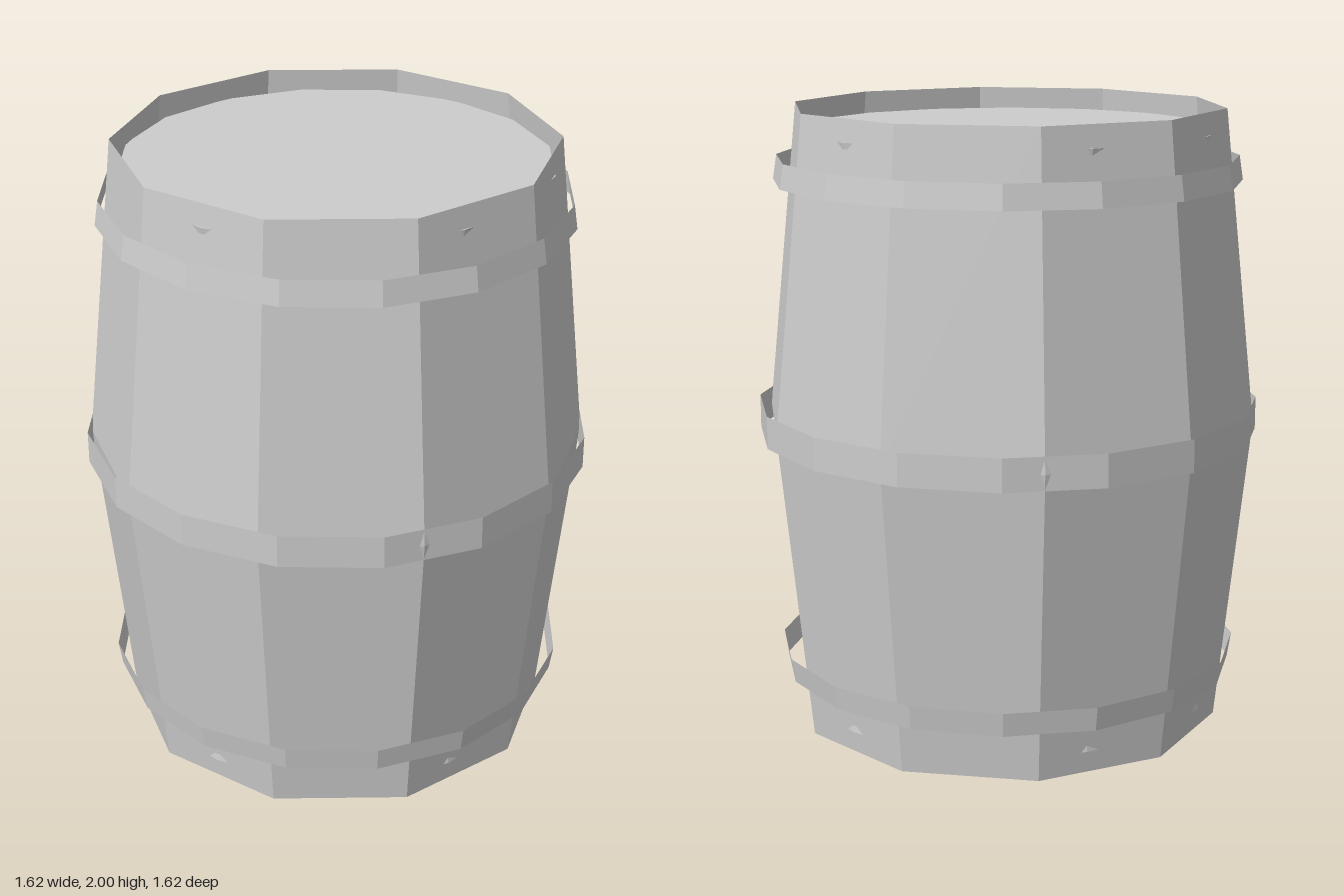
import * as THREE from 'three';

export function createModel() {
  const barrel = new THREE.Group();
  barrel.name = 'barrel';

  const grey = new THREE.MeshStandardMaterial({ color: 0xcccccc, flatShading: true, side: THREE.DoubleSide });
  grey.name = 'grey';

  // Cylinder or cone section between two heights
  const ring = (name, sides, y0, y1, r0, r1, open = true, start = 0) => {
    const geometry = new THREE.CylinderGeometry(r1, r0, y1 - y0, sides, 1, open, start);
    const mesh = new THREE.Mesh(geometry, grey);
    mesh.name = name;
    mesh.position.y = (y0 + y1) / 2;
    barrel.add(mesh);
  };

  // Ten-sided wall, widest halfway up
  ring('lowerStaves', 10, 0, 1, 0.695, 0.8, true, Math.PI / 2);
  ring('upperStaves', 10, 1, 2, 0.8, 0.695, true, Math.PI / 2);

  // Recessed end discs whose corners just reach through the staves
  ring('bottomLid', 16, 0.07, 0.09, 0.675, 0.672, false);
  ring('topLid', 16, 1.91, 1.93, 0.672, 0.675, false);

  // Thin sixteen-sided hoops
  ring('lowerHoop', 16, 0.165, 0.243, 0.738, 0.75);
  ring('middleHoop', 16, 0.95, 1.055, 0.81, 0.81);
  ring('upperHoop', 16, 1.765, 1.843, 0.75, 0.738);

  return barrel;
}
